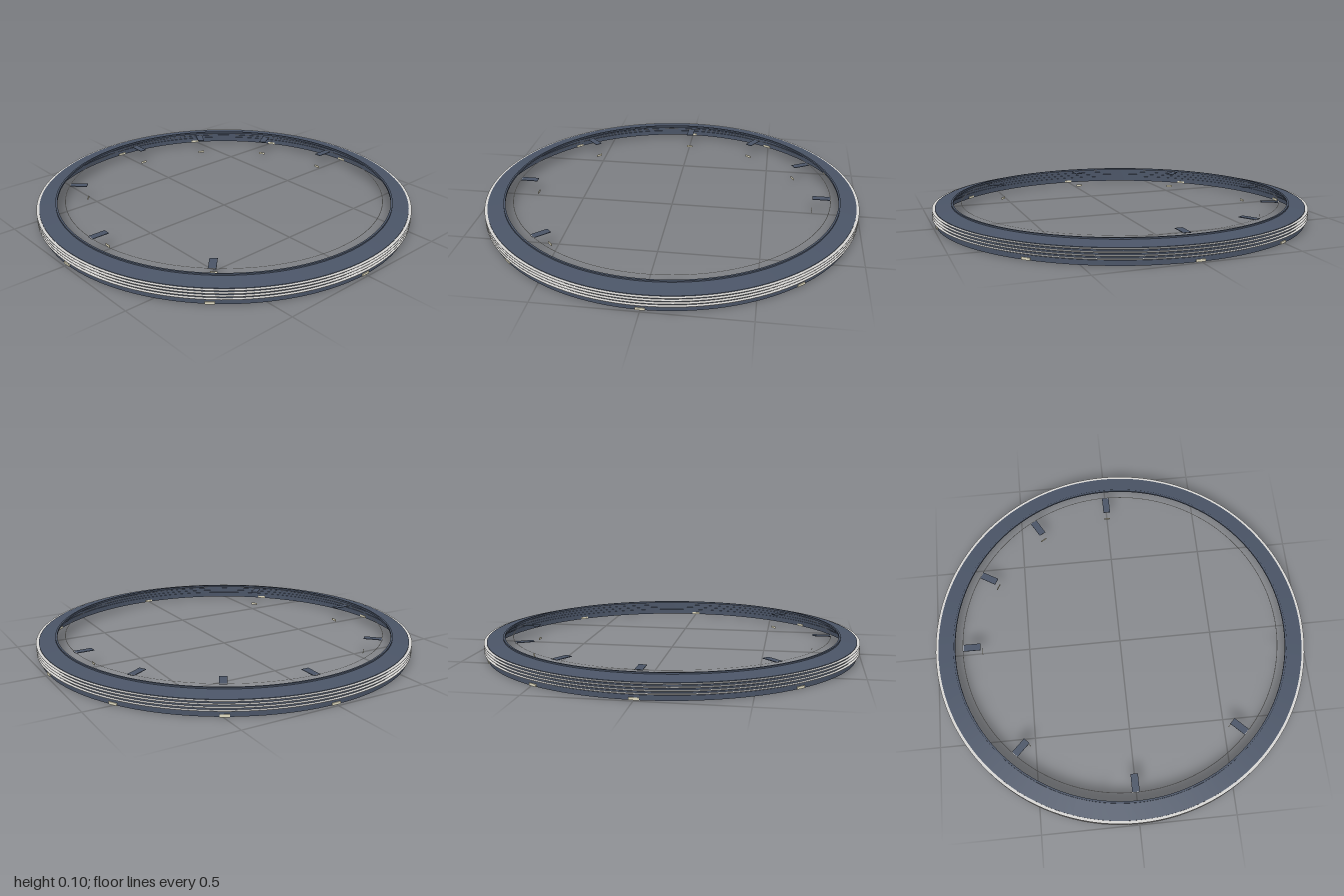
import * as THREE from 'three';

const material = (name, color) => {
  const m = new THREE.MeshStandardMaterial({ color, side: THREE.DoubleSide });
  m.name = name;
  return m;
};

export function createModel() {
  const slate = material('slate', 0x4a5466);
  const lightGrey = material('light grey', 0xd6d5d3);
  const cream = material('cream', 0xe0dac0);

  const model = new THREE.Group();
  model.name = 'ring';

  const add = (parent, name, geometry, mat) => {
    const mesh = new THREE.Mesh(geometry, mat);
    mesh.name = name;
    parent.add(mesh);
    return mesh;
  };

  // Surface swept through (radius, height) points, one band per segment to keep edges sharp
  const bands = (name, points, mat) => {
    for (let i = 1; i < points.length; i++) {
      const pair = [points[i - 1], points[i]].map(([r, y]) => new THREE.Vector2(r, y));
      add(model, name, new THREE.LatheGeometry(pair, 128), mat);
    }
  };

  // Hollow outer wall with a shallow groove under each thin grip fin
  const finHeights = [0.03, 0.045, 0.06, 0.075];
  const wall = [[0.984, 0]];
  for (const y of finHeights) {
    wall.push([0.984, y - 0.006], [0.979, y - 0.006], [0.979, y], [0.984, y]);
    bands('gripFin', [[0.984, y], [0.999, y], [0.999, y + 0.002], [0.984, y + 0.002]], lightGrey);
  }
  wall.push([0.984, 0.08]);
  bands('outerWall', wall, slate);

  // Sloping top and raised inner lip
  bands('slopingTop', [[0.984, 0.08], [0.9, 0.093]], slate);
  bands('innerLip', [[0.9, 0.093], [0.9, 0.1], [0.89, 0.1], [0.89, 0.09]], slate);

  // Fine inner circle
  bands('innerCircle', [[0.85, 0.097], [0.8465, 0.097]], lightGrey);

  // Box at a clockwise angle from the back, lying along the radius
  const radialBox = (name, degrees, radius, y, size, mat) => {
    const spoke = new THREE.Group();
    spoke.name = name;
    spoke.rotation.y = -THREE.MathUtils.degToRad(degrees);
    add(spoke, name, new THREE.BoxGeometry(...size), mat).position.set(0, y, -radius);
    model.add(spoke);
  };

  // Index tabs with small upright plates below their inner ends
  for (const a of [0.5, 30.4, 60, 90, 225, 270.3, 315.3]) {
    radialBox('indexTab', a, 0.802, 0.095, [0.038, 0.003, 0.095], slate);
    radialBox('innerPlate', a, 0.755, 0.02, [0.036, 0.012, 0.002], cream);
  }

  // Small plates at the foot of the wall
  for (const a of [0, 30, 60, 90, 135, 180, 225, 270, 315]) {
    radialBox('footPlate', a, 0.984, 0.006, [0.046, 0.012, 0.008], cream);
  }

  return model;
}
